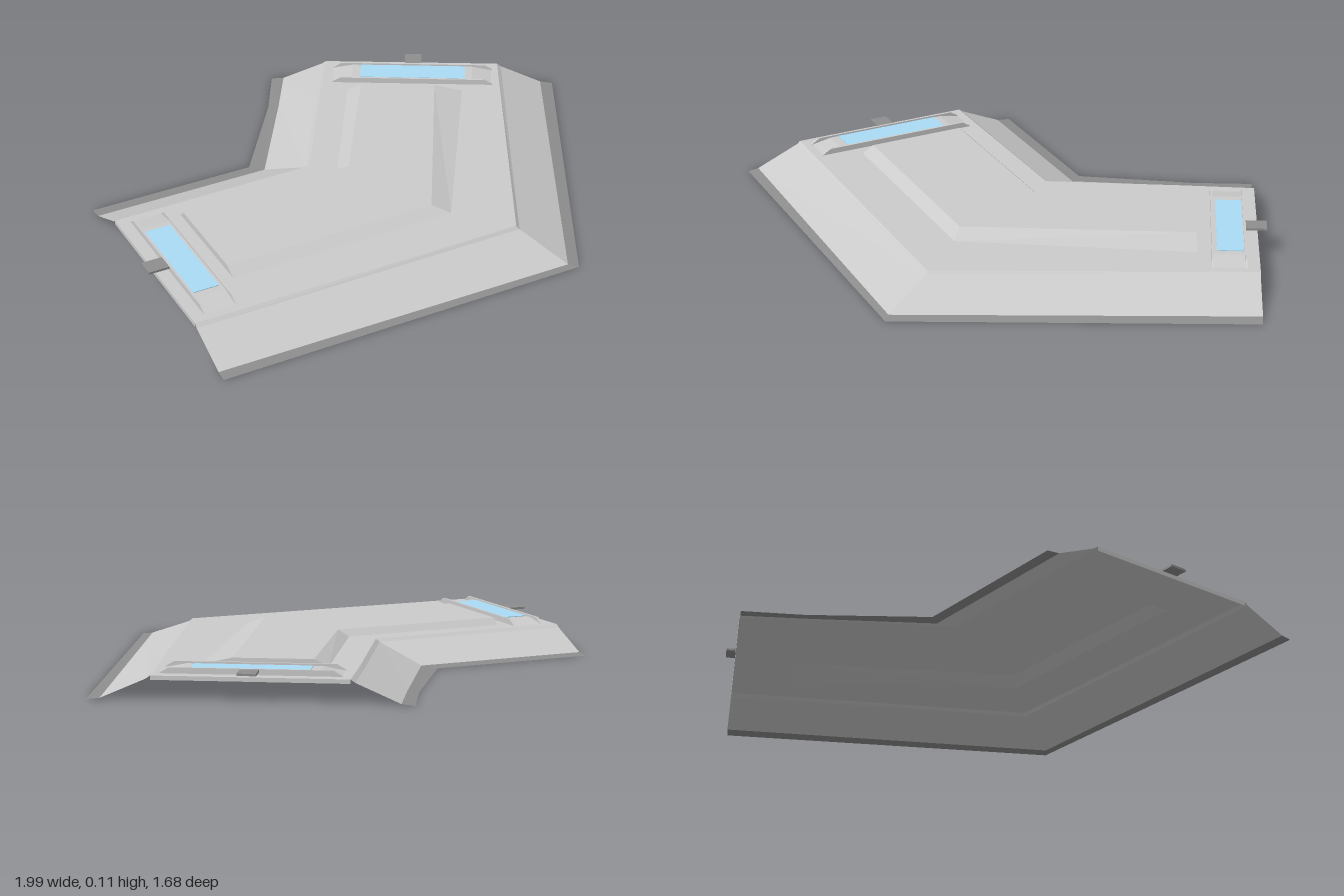
import * as THREE from 'three';

const grey = new THREE.MeshStandardMaterial({ color: 0xcccccc, flatShading: true, side: THREE.DoubleSide });
const dark = new THREE.MeshStandardMaterial({ color: 0x8e8e8e, flatShading: true, side: THREE.DoubleSide });
const blue = new THREE.MeshStandardMaterial({ color: 0xa9dcf5, flatShading: true, side: THREE.DoubleSide });

// A rail is a list of [x, z] points at one height, running from the left end round the bend
const rail = (y, ...points) => points.map(([x, z]) => new THREE.Vector3(x, y, z));

// Surface between two rails, given from the outer one to the inner one
function strip(a, b) {
  const points = [];
  for (let i = 0; i + 1 < a.length; i++) points.push(a[i], a[i + 1], b[i + 1], a[i], b[i + 1], b[i]);
  const geometry = new THREE.BufferGeometry().setFromPoints(points);
  geometry.computeVertexNormals();
  return geometry;
}

function add(parent, name, geometry, material = grey) {
  const mesh = new THREE.Mesh(geometry, material);
  mesh.name = name;
  parent.add(mesh);
  return mesh;
}

// Upright walls closing both ends between a lower and an upper pair of rails
function addEnds(parent, name, lowOuter, lowInner, highOuter, highInner) {
  const n = lowOuter.length - 1, m = lowInner.length - 1;
  add(parent, name + 'Left', strip([lowInner[0], lowOuter[0]], [highInner[0], highOuter[0]]));
  add(parent, name + 'Right', strip([lowOuter[n], lowInner[m]], [highOuter[n], highInner[m]]));
}

// Trapezoid bar lying along z with sloping ends
function bar(width, length, topLength, height) {
  const shape = new THREE.Shape([[-length / 2, 0], [length / 2, 0], [topLength / 2, height], [-topLength / 2, height]]
    .map(([x, y]) => new THREE.Vector2(x, y)));
  return new THREE.ExtrudeGeometry(shape, { depth: width, bevelEnabled: false })
    .translate(0, 0, -width / 2).rotateY(Math.PI / 2);
}

// Light unit whose connector tab points towards -x
function makeWindow(name) {
  const unit = new THREE.Group();
  unit.name = name;
  add(unit, 'windowBed', bar(0.115, 0.62, 0.47, 0.014));
  for (const x of [-0.0575, 0.0585]) add(unit, 'windowSideWall', bar(0.009, 0.63, 0.56, 0.021)).position.x = x;
  add(unit, 'windowGlass', new THREE.BoxGeometry(0.095, 0.004, 0.41), blue).position.set(-0.003, 0.0145, -0.003);
  add(unit, 'connectorTab', new THREE.BoxGeometry(0.08, 0.008, 0.066), dark).position.set(-0.098, 0.015, -0.003);
  return unit;
}

export function createModel() {
  const model = new THREE.Group();
  model.name = 'cornerPlatform';

  // Outer skirt, from the ground up to the deck
  const lipOuter = rail(0, [-0.97, 0.84], [0.39, 0.84], [0.99, -0.29]);
  const footOuter = rail(0.005, [-0.97, 0.80], [0.36, 0.815], [0.95, -0.315]);
  const slopeOuter = rail(0.074, [-0.97, 0.635], [0.27, 0.635], [0.81, -0.39]);
  const deckOuter = rail(0.085, [-0.97, 0.622], [0.262, 0.625], [0.797, -0.398]);
  add(model, 'outerLip', strip(lipOuter, footOuter), dark);
  add(model, 'outerSlope', strip(footOuter, slopeOuter));
  add(model, 'outerTrim', strip(slopeOuter, deckOuter));

  // Inner skirt
  const deckInner = rail(0.085, [-0.97, -0.065], [-0.2, -0.07], [0.06, -0.50], [0.208, -0.735]);
  const slopeInner = rail(0.074, [-0.97, -0.08], [-0.21, -0.082], [0.048, -0.508], [0.195, -0.743]);
  const footInner = rail(0.005, [-0.97, -0.237], [-0.305, -0.237], [-0.055, -0.63], [0.06, -0.82]);
  const lipInner = rail(0, [-0.97, -0.287], [-0.345, -0.287], [-0.09, -0.65], [0.02, -0.845]);
  add(model, 'innerTrim', strip(deckInner, slopeInner));
  add(model, 'innerSlope', strip(slopeInner, footInner));
  add(model, 'innerLip', strip(footInner, lipInner), dark);

  // Raised centre panel with bevelled long sides and upright ends
  const baseOuter = rail(0.085, [-0.75, 0.447], [0.10, 0.447], [0.567, -0.278]);
  const topOuter = rail(0.11, [-0.75, 0.402], [0.046, 0.402], [0.473, -0.33]);
  const topInner = rail(0.11, [-0.75, 0.035], [-0.094, 0.035], [0.225, -0.47]);
  const baseInner = rail(0.085, [-0.75, 0.01], [-0.128, 0.01], [0.18, -0.495]);
  add(model, 'panelOuterBevel', strip(baseOuter, topOuter));
  add(model, 'panelTop', strip(topOuter, topInner));
  add(model, 'panelInnerBevel', strip(topInner, baseInner));
  addEnds(model, 'panelEnd', baseOuter, baseInner, topOuter, topInner);

  // Deck around the panel; the hollow underside stays open
  const outline = (a, b) => [...a, ...[...b].reverse()].map(p => new THREE.Vector2(p.x, -p.z));
  const deck = new THREE.Shape(outline(deckOuter, deckInner));
  deck.holes.push(new THREE.Path(outline(baseOuter, baseInner)));
  add(model, 'deck', new THREE.ShapeGeometry(deck).rotateX(-Math.PI / 2).translate(0, 0.085, 0));

  // Narrow fascia under each end of the deck
  const lower = points => points.map(p => p.clone().setY(0.07));
  addEnds(model, 'deckFascia', lower(deckOuter), lower(deckInner), deckOuter, deckInner);

  // Light units at both ends
  const leftWindow = makeWindow('leftWindow');
  leftWindow.position.set(-0.862, 0.085, 0.28);
  const rightWindow = makeWindow('rightWindow');
  rightWindow.position.set(0.454, 0.085, -0.474);
  rightWindow.rotation.y = -Math.PI * 2 / 3;
  model.add(leftWindow, rightWindow);
  return model;
}
